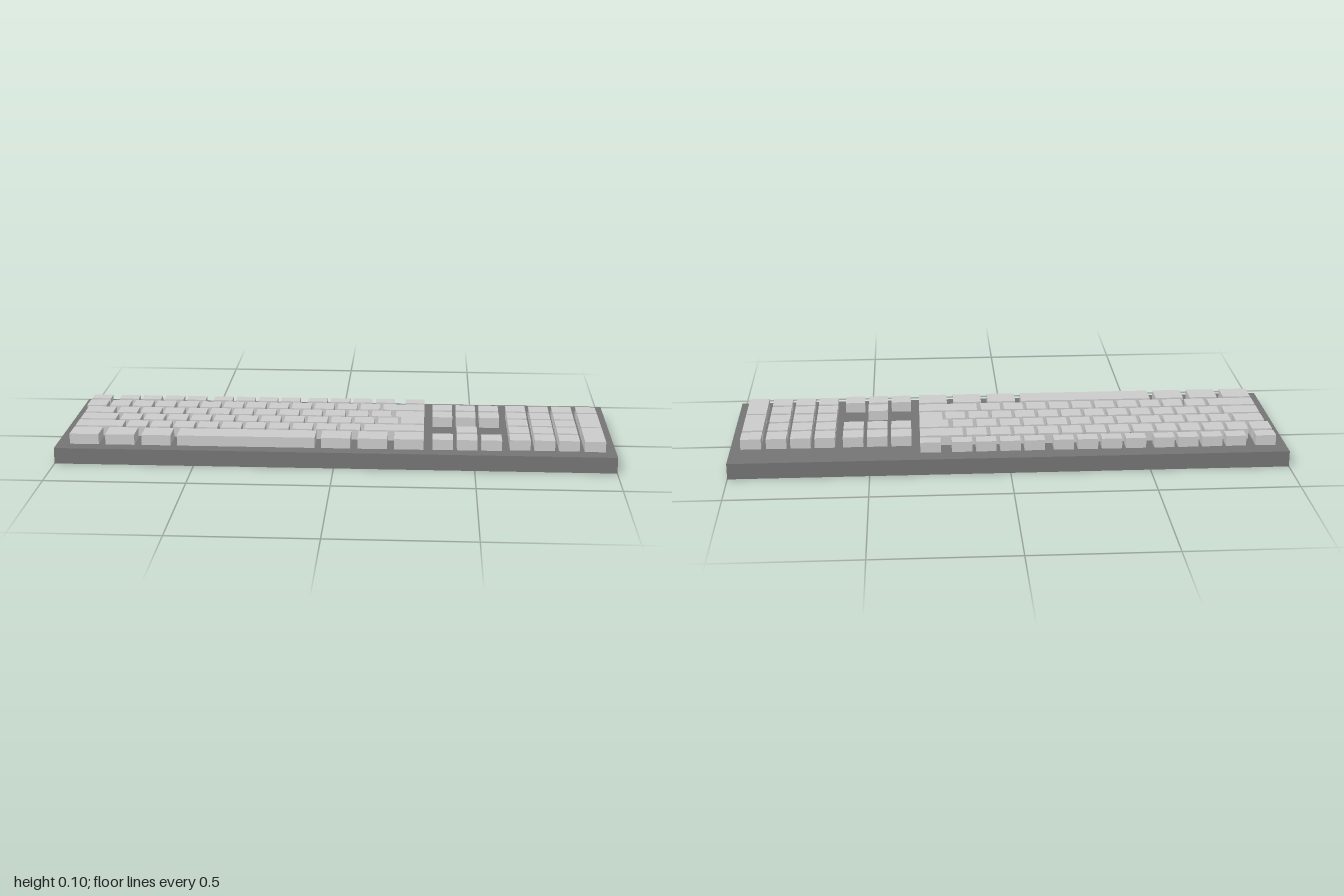
import * as THREE from 'three';

const BASE_H = 0.058, TOP = 0.096;   // deck height and key-top height
const PITCH = 0.0867, KEY = 0.073;   // key spacing and key width

export function createModel() {
  const model = new THREE.Group();
  model.name = 'keyboard';
  const keyMat = new THREE.MeshStandardMaterial({ color: 0xcccccc });
  const baseMat = new THREE.MeshStandardMaterial({ color: 0x757575 });

  const section = (name) => {
    const g = new THREE.Group();
    g.name = name;
    model.add(g);
    return g;
  };

  // One straight-sided key given by its footprint
  const key = (parent, name, x0, x1, z0, z1) => {
    const m = new THREE.Mesh(new THREE.BoxGeometry(x1 - x0, TOP - BASE_H, z1 - z0), keyMat);
    m.position.set((x0 + x1) / 2, (TOP + BASE_H) / 2, (z0 + z1) / 2);
    m.name = name;
    parent.add(m);
  };

  // A run of equal keys
  const run = (parent, name, count, x, z0, z1) => {
    for (let i = 0; i < count; i++) key(parent, name, x + i * PITCH, x + i * PITCH + KEY, z0, z1);
  };

  // Case
  const base = new THREE.Mesh(new THREE.BoxGeometry(2, BASE_H, 0.626), baseMat);
  base.position.y = BASE_H / 2;
  base.name = 'case';
  model.add(base);

  // Top row: a single key, three groups of four, a single key
  const top = section('topRow');
  for (const [count, x] of [[1, -0.963], [4, -0.855], [4, -0.492], [4, -0.127], [1, 0.246]])
    run(top, 'topRowKey', count, x, -0.246, -0.195);

  // Main block: wide left key, run of letter keys, wide right key
  const main = section('mainBlock');
  run(main, 'numberKey', 13, -0.963, -0.177, -0.102);
  key(main, 'backspaceKey', 0.164, 0.319, -0.177, -0.102);

  key(main, 'tabKey', -0.953, -0.847, -0.088, -0.016);
  run(main, 'upperLetterKey', 12, -0.83, -0.088, -0.016);

  key(main, 'capsKey', -0.953, -0.822, -0.002, 0.069);
  run(main, 'middleLetterKey', 12, -0.804, -0.002, 0.069);

  key(main, 'leftShiftKey', -0.953, -0.781, 0.083, 0.156);
  run(main, 'lowerLetterKey', 10, -0.766, 0.083, 0.156);
  key(main, 'rightShiftKey', 0.102, 0.319, 0.083, 0.156);

  // L-shaped enter key
  const ell = new THREE.Shape([
    [0.214, 0.088], [0.214, 0.014], [0.234, 0.014], [0.234, -0.069], [0.319, -0.069], [0.319, 0.088],
  ].map(([x, y]) => new THREE.Vector2(x, y)));
  const enter = new THREE.Mesh(
    new THREE.ExtrudeGeometry(ell, { depth: TOP - BASE_H, bevelEnabled: false }).rotateX(-Math.PI / 2), keyMat);
  enter.position.y = BASE_H;
  enter.name = 'enterKey';
  main.add(enter);

  // Bottom row with the space bar
  for (const x of [-0.953, -0.824, -0.693, -0.048, 0.083, 0.213])
    key(main, 'modifierKey', x, x + 0.105, 0.172, 0.26);
  key(main, 'spaceBar', -0.565, -0.07, 0.172, 0.26);

  // Navigation keys and arrows
  const nav = section('navigationBlock');
  for (const z of [-0.177, -0.088]) run(nav, 'navigationKey', 3, 0.35, z, z + 0.072);
  key(nav, 'upArrowKey', 0.437, 0.51, 0.094, 0.166);
  run(nav, 'arrowKey', 3, 0.35, 0.185, 0.258);

  // Number pad: five rows of three, plus a right-hand column
  const pad = section('numberPad');
  for (let r = 0; r < 5; r++) {
    const z = -0.178 + r * 0.0883;
    run(pad, 'padKey', 3, 0.625, z, z + 0.074);
  }
  for (const [name, z0, z1] of [['padMinusKey', -0.178, -0.103], ['padPlusKey', -0.088, 0.077], ['padEnterKey', 0.087, 0.253]])
    key(pad, name, 0.889, 0.963, z0, z1);

  return model;
}
